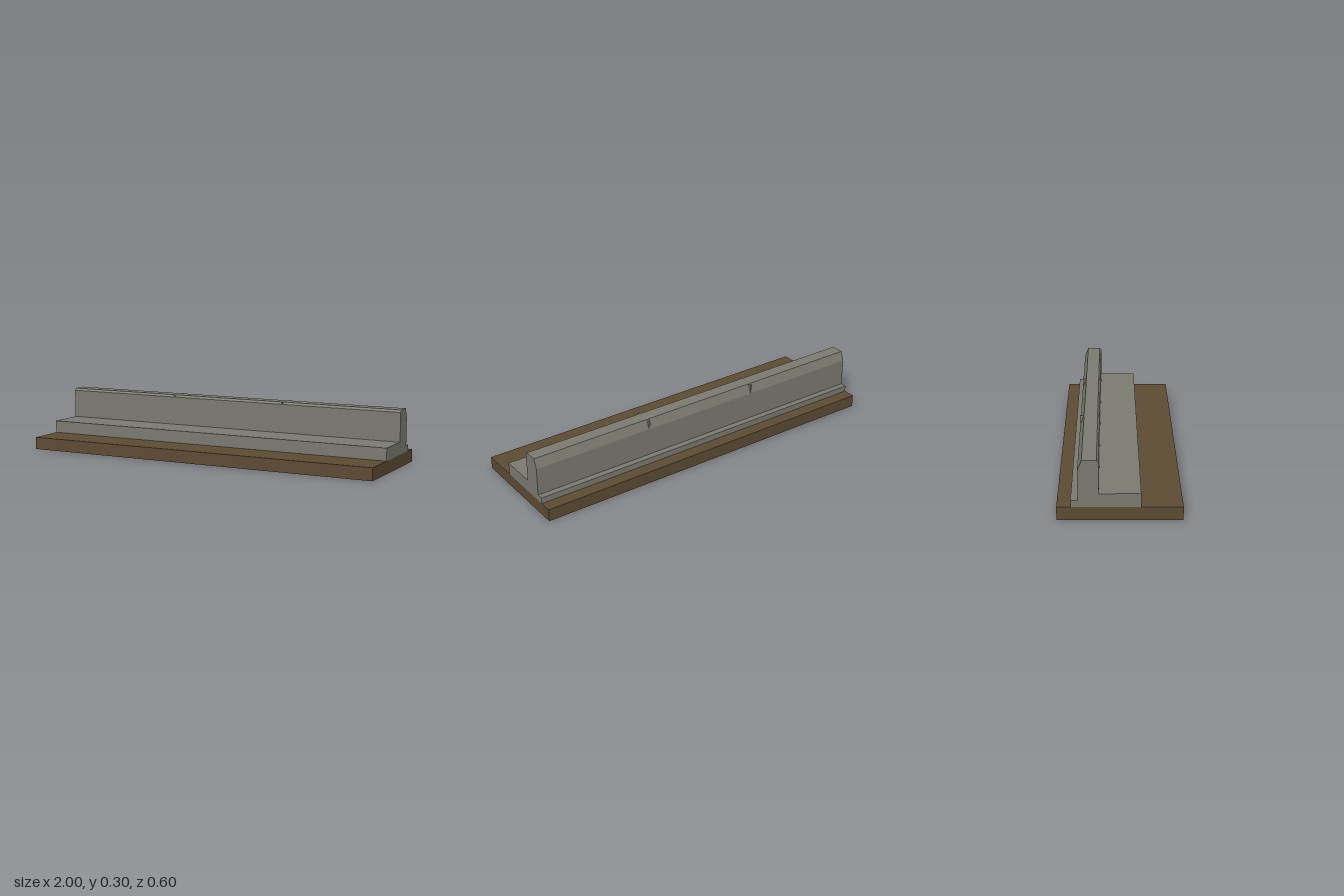
import * as THREE from 'three';

export function createModel() {
  const group = new THREE.Group();
  const stone = new THREE.MeshStandardMaterial({ color: 0x7a7a70 });
  stone.name = 'grey stone';
  const earth = new THREE.MeshStandardMaterial({ color: 0x5c4a33 });
  earth.name = 'brown earth';

  const add = (name, geometry, material) => {
    const mesh = new THREE.Mesh(geometry, material);
    mesh.name = name;
    group.add(mesh);
  };

  // Box given by its x centre, width and y / z ranges
  const block = (name, x, width, y0, y1, z0, z1, material) => {
    const geometry = new THREE.BoxGeometry(width, y1 - y0, z1 - z0);
    geometry.translate(x, (y0 + y1) / 2, (z0 + z1) / 2);
    add(name, geometry, material);
  };

  block('groundSlab', 0, 2, 0, 0.0667, -0.3, 0.3, earth);
  block('frontStep', 0, 2, 0.0667, 0.1333, -0.1, 0.1, stone);
  block('rearFooting', 0, 2, 0.0667, 0.1, -0.2333, -0.1, stone);

  // Wall with a small front chamfer and a steep rear chamfer, as [-z, y]
  const profile = [[0.1, 0.1], [0.2, 0.1], [0.2, 0.25], [0.18, 0.3], [0.11, 0.3], [0.1, 0.288]];
  const shape = new THREE.Shape(profile.map(([a, y]) => new THREE.Vector2(a, y)));
  const wall = new THREE.ExtrudeGeometry(shape, { depth: 2, bevelEnabled: false });
  wall.translate(0, 0, -1).rotateY(Math.PI / 2);
  add('parapetWall', wall, stone);

  // Thin square-cornered ribs at the joints between wall sections
  for (const side of [-1, 1]) {
    block(side > 0 ? 'leftJointRib' : 'rightJointRib',
      side * 0.3317, 0.008, 0.1, 0.3, -0.2, -0.1, stone);
  }
  return group;
}
